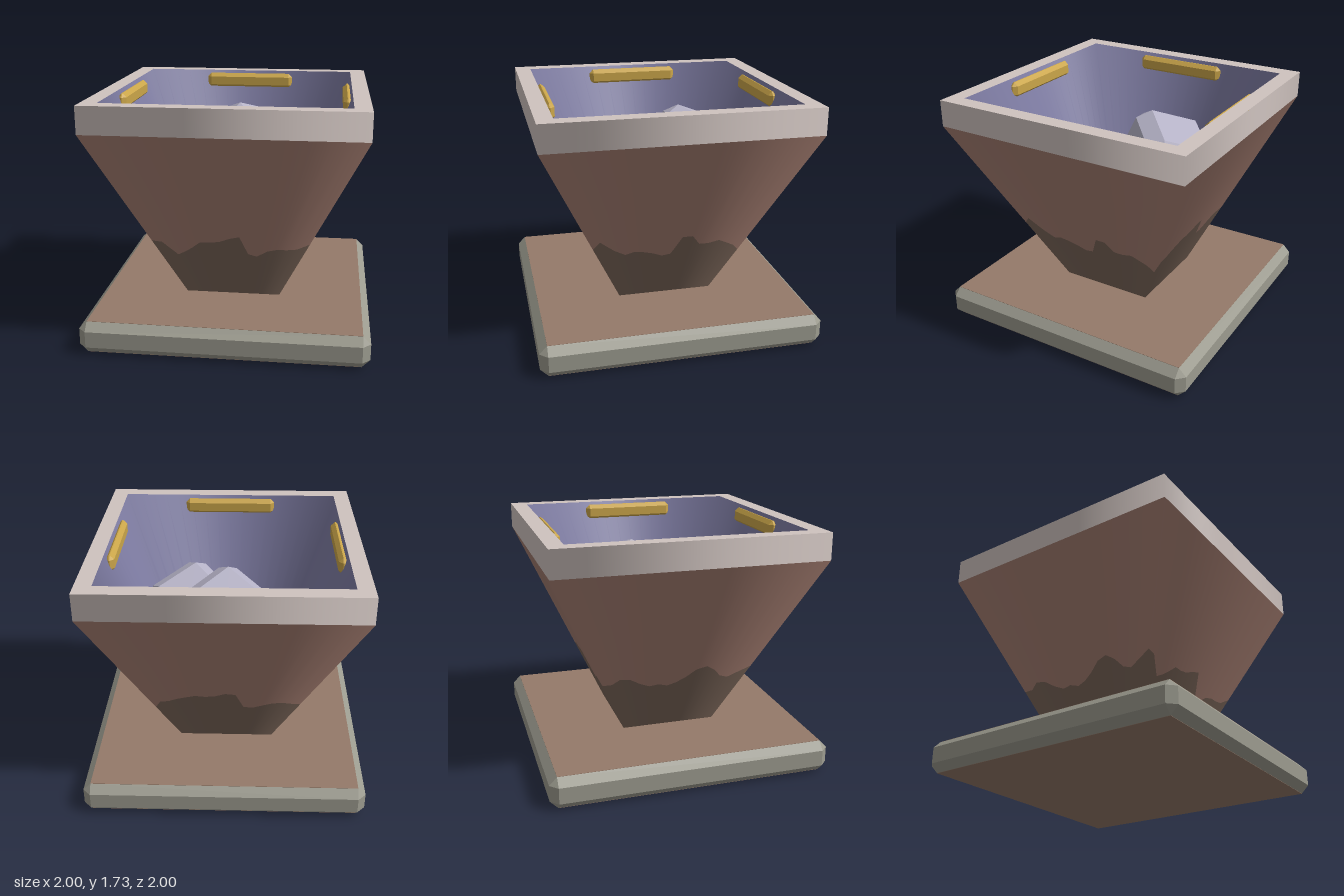
import * as THREE from 'three';
import { ConvexGeometry } from 'three/addons/geometries/ConvexGeometry.js';

const mat = (name, color, side = THREE.FrontSide) => {
  const m = new THREE.MeshStandardMaterial({ color, side });
  m.name = name;
  return m;
};

// Box with all edges and corners cut flat
function chamferBox(w, h, d, c) {
  const pts = [];
  for (const sx of [-1, 1]) for (const sy of [-1, 1]) for (const sz of [-1, 1]) {
    const x = w / 2, y = h / 2, z = d / 2;
    pts.push(
      new THREE.Vector3(sx * x, sy * (y - c), sz * (z - c)),
      new THREE.Vector3(sx * (x - c), sy * y, sz * (z - c)),
      new THREE.Vector3(sx * (x - c), sy * (y - c), sz * z));
  }
  return new ConvexGeometry(pts);
}

const STEPS = 16; // samples along each side of a square ring

// Four-sided wall between two heights; half(y) is the half width,
// low(k) and high(k) the heights at perimeter sample k. Shading is softened round the corners.
function squareWall(half, low, high, slope, inward = false) {
  const pos = [], nor = [], idx = [], up = new THREE.Vector3(0, 1, 0), s = inward ? -1 : 1;
  for (let f = 0; f < 4; f++) {
    for (let i = 0; i <= STEPS; i++) {
      const t = -1 + 2 * i / STEPS, k = (f * STEPS + i) % (4 * STEPS);
      const n = new THREE.Vector3(t, -slope * 1.5, 1).normalize().multiplyScalar(s).applyAxisAngle(up, f * Math.PI / 2);
      for (const y of [low(k), high(k)]) {
        const p = new THREE.Vector3(t * half(y), y, half(y)).applyAxisAngle(up, f * Math.PI / 2);
        pos.push(p.x, p.y, p.z);
        nor.push(n.x, n.y, n.z);
      }
      if (i < STEPS) {
        const a = (f * (STEPS + 1) + i) * 2, b = a + 2;
        if (inward) idx.push(a, b + 1, b, a, a + 1, b + 1);
        else idx.push(a, b, b + 1, a, b + 1, a + 1);
      }
    }
  }
  const g = new THREE.BufferGeometry();
  g.setAttribute('position', new THREE.Float32BufferAttribute(pos, 3));
  g.setAttribute('normal', new THREE.Float32BufferAttribute(nor, 3));
  g.setIndex(idx);
  return g;
}

// Upper edge of the grime, going round front, right, back and left
const GRIME = [
  .70, .69, .58, .61, .65, .70, .70, .71, .74, .76, .61, .59, .64, .66, .66, .67,
  .72, .78, .69, .64, .66, .65, .63, .60, .61, .76, .76, .68, .68, .70, .67, .64,
  .59, .66, .67, .70, .72, .74, .73, .74, .77, .76, .61, .60, .63, .66, .67, .66,
  .66, .66, .70, .69, .64, .61, .62, .60, .62, .66, .72, .74, .70, .64, .62, .66];

export function createModel() {
  const model = new THREE.Group();
  const stoneGrey = mat('baseGrey', 0x9c9b8f);
  const brown = mat('baseBrown', 0x957a69);
  const clay = mat('hopperClay', 0xa88073);
  const grime = mat('grimeBrown', 0x7c675a);
  const pale = mat('rimPale', 0xcfc3bf);
  const violet = mat('innerViolet', 0x7b799f);
  const gold = mat('gold', 0xcba64a);
  const rock = mat('rockGrey', 0xb5b2c6);

  const add = (name, geo, material, x = 0, y = 0, z = 0) => {
    const m = new THREE.Mesh(geo, material);
    m.name = name;
    m.position.set(x, y, z);
    model.add(m);
    return m;
  };

  // Base slab with brown top and bottom faces
  add('baseEdge', chamferBox(2, 0.226, 2, 0.055), stoneGrey, 0, 0.115, 0);
  add('baseFaces', new THREE.BoxGeometry(1.89, 0.23, 1.89), brown, 0, 0.115, 0);

  // Outer hopper walls, grimy below the wavy line
  const Y0 = 0.23, Y1 = 1.54, Y2 = 1.73, FLOOR = 0.35;
  const slope = (0.94 - 0.345) / (Y1 - Y0);
  const outer = y => 0.345 + (y - Y0) * slope;
  const line = k => GRIME[k];
  add('hopperGrime', squareWall(outer, () => Y0, line, slope), grime);
  add('hopperWall', squareWall(outer, line, () => Y1, slope), clay);

  // Rim band and its flat top
  add('rimBand', squareWall(() => 0.94, () => Y1, () => Y2, 0), pale);
  const square = h => [[-h, -h], [h, -h], [h, h], [-h, h]].map(p => new THREE.Vector2(...p));
  const rim = new THREE.Shape(square(0.94));
  rim.holes.push(new THREE.Path(square(0.825)));
  add('rimTop', new THREE.ShapeGeometry(rim).rotateX(-Math.PI / 2), pale, 0, Y2, 0);

  // Inside walls and floor
  const innerSlope = (0.825 - 0.31) / (Y2 - FLOOR);
  const inner = y => 0.31 + (y - FLOOR) * innerSlope;
  add('innerWall', squareWall(inner, () => FLOOR, () => Y2, innerSlope, true), violet);
  add('innerFloor', new THREE.PlaneGeometry(0.62, 0.62).rotateX(-Math.PI / 2), violet, 0, FLOOR, 0);

  // Gold bars on the four inside walls
  const bar = chamferBox(0.7, 0.12, 0.064, 0.028);
  for (let i = 0; i < 4; i++) {
    const a = i * Math.PI / 2;
    add('goldBar', bar, gold, Math.sin(a) * 0.795, 1.65, Math.cos(a) * 0.795).rotation.y = a;
  }

  // Pile of rocks: size, position, rotation
  const rocks = [
    [0.52, [-0.2, 0.86, -0.11], [-0.1, 0.07, -0.22]],
    [0.53, [0.27, 1.04, 0.18], [-0.5, 0.7, 0]],
    [0.54, [0.0, 1.22, -0.3], [-0.5, 0.8, 0.08]],
  ];
  for (const [s, p, r] of rocks) {
    add('rock', chamferBox(s, s, s, 0.09), rock, ...p).rotation.set(...r);
  }
  return model;
}
